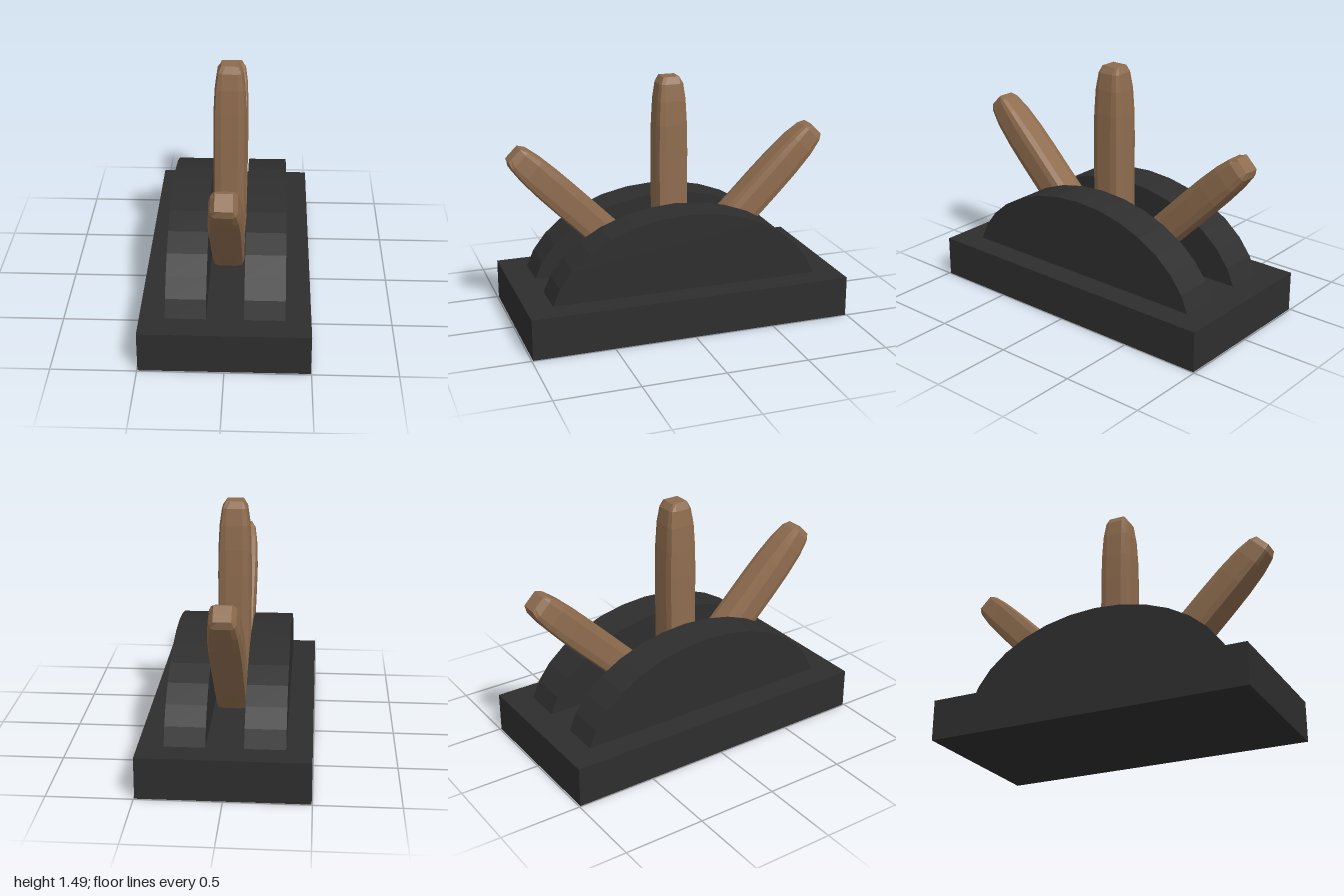
import * as THREE from 'three';

const charcoal = new THREE.MeshStandardMaterial({ color: 0x2e2e2e });
charcoal.name = 'charcoal';
const wood = new THREE.MeshStandardMaterial({ color: 0x8e6c4e });
wood.name = 'wood';

const PIVOT = 0.13;
const LENGTH = 1.36;

// Half-dome side cheek: an elliptical arc extruded along x
function cheekGeometry(width) {
  const shape = new THREE.Shape();
  for (let i = -7; i <= 7; i++) {
    const a = (i * Math.PI) / 16;
    const z = 0.85 * Math.sin(a);
    const y = 0.127 + 0.593 * Math.cos(a);
    if (i === -7) shape.moveTo(z, y);
    else shape.lineTo(z, y);
  }
  const geo = new THREE.ExtrudeGeometry(shape, { depth: width, bevelEnabled: false });
  geo.translate(0, 0, -width / 2);
  geo.rotateY(Math.PI / 2);
  return geo;
}

// Rounded square bar with tapered ends, lofted from 12-sided rings
function leverGeometry() {
  // distance from end, half width, flat half width, corner position
  const taper = [
    [0, 0.05, 0.025, 0.05],
    [0.04, 0.075, 0.045, 0.066],
    [0.14, 0.089, 0.05, 0.079],
    [0.29, 0.097, 0.05, 0.086],
    [0.45, 0.099, 0.05, 0.088],
  ];
  const rings = [
    ...taper,
    ...taper.slice().reverse().map(([d, ...r]) => [LENGTH - d, ...r]),
  ];
  const pos = [];
  const index = [];
  for (const [y, h, m, c] of rings) {
    for (let q = 0; q < 4; q++) {
      const cos = Math.round(Math.cos((q * Math.PI) / 2));
      const sin = Math.round(Math.sin((q * Math.PI) / 2));
      for (const [u, v] of [[h, -m], [h, m], [c, c]]) {
        pos.push(u * cos - v * sin, y, u * sin + v * cos);
      }
    }
  }
  const n = 12;
  const last = (rings.length - 1) * n;
  for (let i = 0; i < rings.length - 1; i++) {
    for (let j = 0; j < n; j++) {
      const a = i * n + j;
      const b = i * n + ((j + 1) % n);
      index.push(a, a + n, b, b, a + n, b + n);
    }
  }
  // end caps
  for (let j = 1; j < n - 1; j++) {
    index.push(0, j, j + 1);
    index.push(last, last + j + 1, last + j);
  }
  const indexed = new THREE.BufferGeometry();
  indexed.setAttribute('position', new THREE.Float32BufferAttribute(pos, 3));
  indexed.setIndex(index);
  const geo = indexed.toNonIndexed();
  geo.computeVertexNormals();
  return geo;
}

export function createModel() {
  const model = new THREE.Group();
  model.name = 'leverStand';
  const add = (name, geo, mat) => {
    const mesh = new THREE.Mesh(geo, mat);
    mesh.name = name;
    model.add(mesh);
    return mesh;
  };

  add('base', new THREE.BoxGeometry(0.992, 0.25, 1.984), charcoal).position.y = 0.125;

  // Cheeks either side of the lever slot
  const cheek = cheekGeometry(0.237);
  add('leftCheek', cheek, charcoal).position.x = 0.228;
  add('rightCheek', cheek, charcoal).position.x = -0.228;

  // Three levers fanned about a common pivot
  const lever = leverGeometry();
  [['backLever', -1], ['middleLever', 0], ['frontLever', 1]].forEach(([name, s]) => {
    const mesh = add(name, lever, wood);
    mesh.position.y = PIVOT;
    mesh.rotation.x = (s * Math.PI) / 4;
  });

  return model;
}
